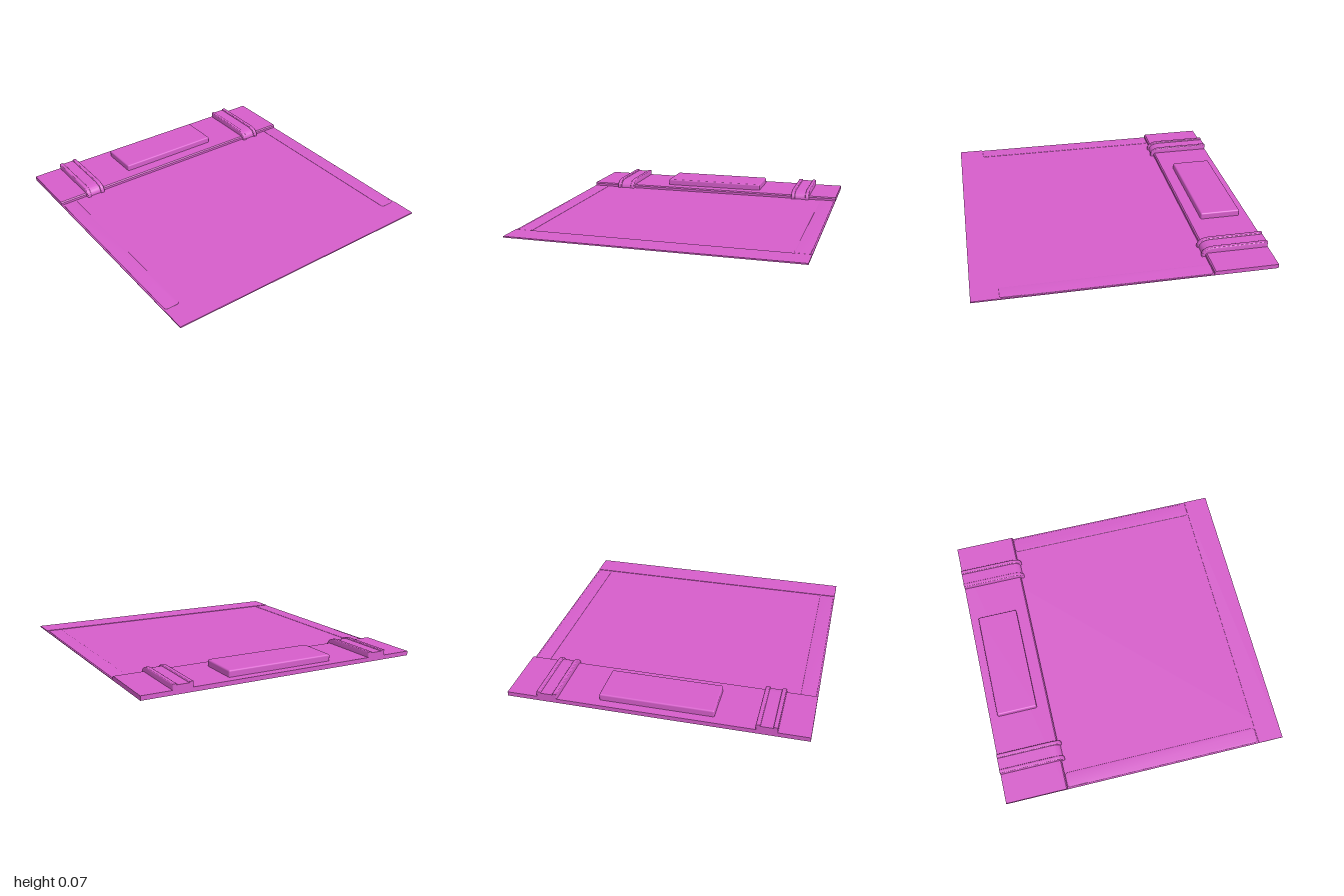
import * as THREE from 'three';
import { RoundedBoxGeometry } from 'three/addons/geometries/RoundedBoxGeometry.js';
import { toCreasedNormals } from 'three/addons/utils/BufferGeometryUtils.js';

const material = new THREE.MeshStandardMaterial({ color: 0xd65ecb });

function add(parent, name, geometry) {
  const mesh = new THREE.Mesh(geometry, material);
  mesh.name = name;
  parent.add(mesh);
  return mesh;
}

// Box given by its limits on each axis
function box(x0, x1, y0, y1, z0, z1) {
  return new THREE.BoxGeometry(x1 - x0, y1 - y0, z1 - z0)
    .translate((x0 + x1) / 2, (y0 + y1) / 2, (z0 + z1) / 2);
}

// Side profile (z, y) with a rounded front end, extruded from x0 to x1
function strapStrip(x0, x1, height, front, bevel) {
  const back = -1 + bevel, low = bevel, top = height - bevel, nose = front - bevel;
  const s = new THREE.Shape();
  s.moveTo(back, low);
  s.lineTo(nose, low);
  s.bezierCurveTo(nose, top * 0.65, nose - 0.03, top, nose - 0.085, top);
  s.lineTo(back, top);
  s.closePath();
  const g = new THREE.ExtrudeGeometry(s, {
    depth: x1 - x0 - 2 * bevel, curveSegments: 12,
    bevelEnabled: bevel > 0, bevelSize: bevel, bevelThickness: bevel, bevelSegments: 3,
  });
  g.rotateY(-Math.PI / 2).translate(x1 - bevel, 0, 0);
  return toCreasedNormals(g, 0.6);
}

// Low side rail: a flat rounded rectangle with a softened upper edge
function railGeometry() {
  const x0 = 0.892, x1 = 0.983, z0 = -0.555, z1 = 0.813, r = 0.015;
  const s = new THREE.Shape();
  s.moveTo(x0 + r, -z1);
  s.lineTo(x1 - r, -z1);
  s.quadraticCurveTo(x1, -z1, x1, -z1 + r);
  s.lineTo(x1, -z0 - r);
  s.quadraticCurveTo(x1, -z0, x1 - r, -z0);
  s.lineTo(x0 + r, -z0);
  s.quadraticCurveTo(x0, -z0, x0, -z0 - r);
  s.lineTo(x0, -z1 + r);
  s.quadraticCurveTo(x0, -z1, x0 + r, -z1);
  const g = new THREE.ExtrudeGeometry(s, {
    depth: 0.003, bevelSize: 0.006, bevelThickness: 0.002, bevelSegments: 2, curveSegments: 5,
  });
  g.rotateX(-Math.PI / 2).translate(0, 0.003, 0);
  return toCreasedNormals(g, 0.5);
}

export function createModel() {
  const model = new THREE.Group();
  model.name = 'panel';

  // Thin sheet and the raised strip along its front edge
  add(model, 'baseSheet', box(-1, 1, 0, 0.005, -1, 1));
  add(model, 'frontStrip', box(-1, 1, 0, 0.009, 0.825, 1));

  // Thick rear band with a small chamfer along its front edge
  const band = new THREE.Shape();
  [[-1, 0], [-0.565, 0], [-0.565, 0.022], [-0.573, 0.03], [-1, 0.03]]
    .forEach(([z, y], i) => (i ? band.lineTo(z, y) : band.moveTo(z, y)));
  const bandGeometry = new THREE.ExtrudeGeometry(band, { depth: 2, bevelEnabled: false });
  add(model, 'rearBand', bandGeometry.rotateY(-Math.PI / 2).translate(1, 0, 0));

  // Raised pad in the middle of the rear band
  add(model, 'centrePad', new RoundedBoxGeometry(0.765, 0.065, 0.285, 4, 0.011)
    .translate(0, 0.0425, -0.7975));

  // Rails and ribbed straps, mirrored left and right
  for (const [side, sign] of [['left', 1], ['right', -1]]) {
    const rail = railGeometry();
    if (sign < 0) rail.rotateY(Math.PI).translate(0, 0, 0.258);
    add(model, side + 'Rail', rail);

    const strap = new THREE.Group();
    strap.name = side + 'Strap';
    const at = (a, b) => (sign > 0 ? [a, b] : [-b, -a]);
    add(strap, 'strapWeb', strapStrip(...at(0.675, 0.775), 0.06, -0.55, 0));
    add(strap, 'innerRib', strapStrip(...at(0.655, 0.685), 0.068, -0.54, 0.006));
    add(strap, 'outerRib', strapStrip(...at(0.765, 0.795), 0.068, -0.54, 0.006));
    model.add(strap);
  }
  return model;
}
